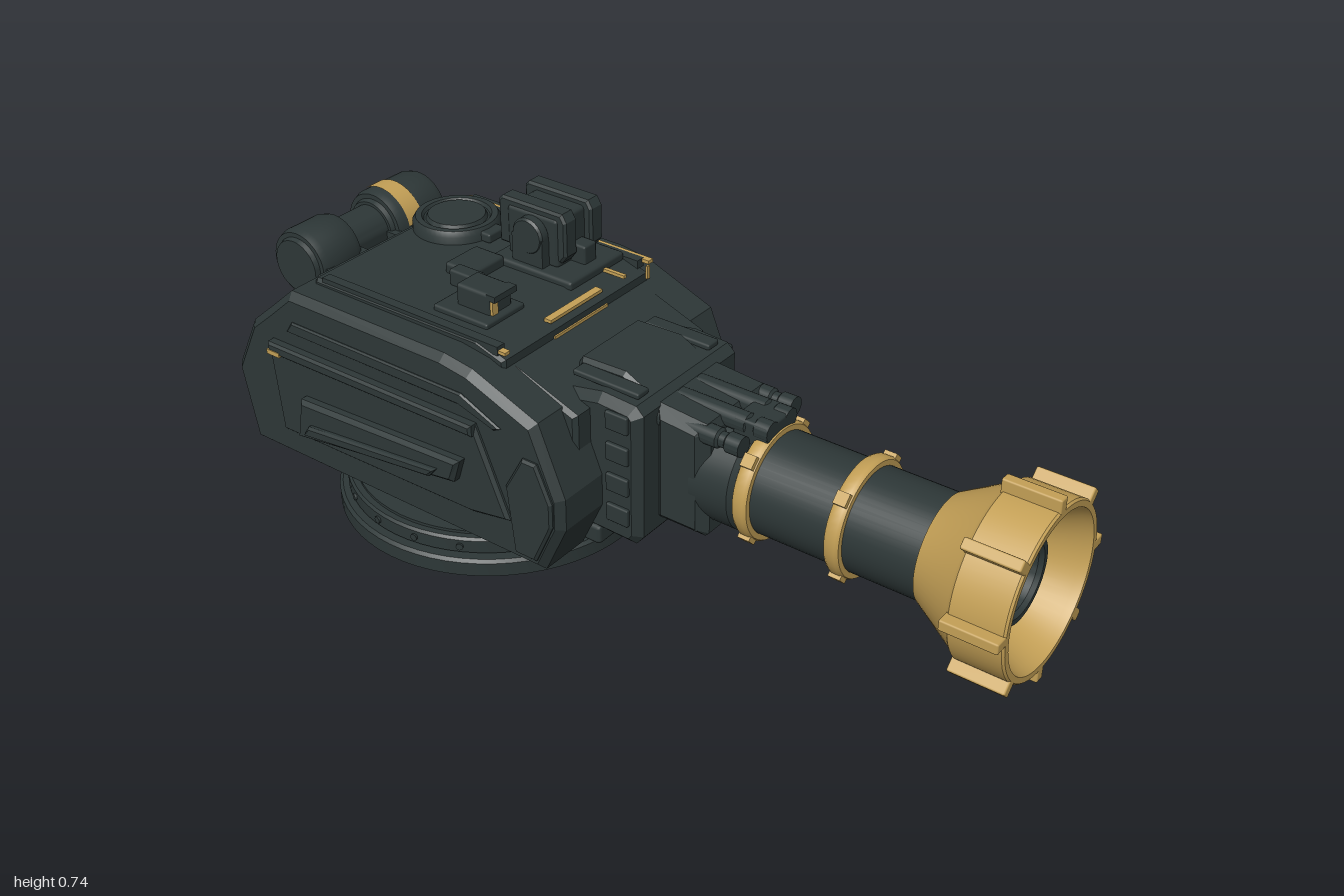
import * as THREE from 'three';
import { toCreasedNormals } from 'three/addons/utils/BufferGeometryUtils.js';
import { RoundedBoxGeometry } from 'three/addons/geometries/RoundedBoxGeometry.js';

const dark = new THREE.MeshStandardMaterial({ color: 0x2d3737 });
dark.name = 'dark armour';
const gold = new THREE.MeshStandardMaterial({ color: 0xc4a056 });
gold.name = 'brass';

const AXIS_Y = 0.335; // height of the gun axis

export function createModel() {
  const root = new THREE.Group();
  root.name = 'gunTurret';

  function add(name, geometry, material = dark, parent = root) {
    const mesh = new THREE.Mesh(geometry, material);
    mesh.name = name;
    parent.add(mesh);
    return mesh;
  }
  // Box given by its limits
  function box(name, x0, x1, y0, y1, z0, z1, material = dark, r = 0) {
    const s = [x1 - x0, y1 - y0, z1 - z0];
    const g = r ? new RoundedBoxGeometry(...s, 1, r) : new THREE.BoxGeometry(...s);
    const m = add(name, g, material);
    m.position.set((x0 + x1) / 2, (y0 + y1) / 2, (z0 + z1) / 2);
    return m;
  }
  // Side profile in x,y pushed from z0 to z1, with chamfered edges
  function slab(name, pts, z0, z1, bevel = 0, material = dark) {
    const shape = new THREE.Shape(pts.map(p => new THREE.Vector2(...p)));
    const g = new THREE.ExtrudeGeometry(shape, {
      depth: z1 - z0 - 2 * bevel, bevelEnabled: bevel > 0, bevelThickness: bevel,
      bevelSize: bevel, bevelOffset: -bevel, bevelSegments: 1,
    });
    g.translate(0, 0, z0 + bevel);
    return add(name, g, material);
  }
  // Turned part; profile points are [radius, position along the axis]
  function turned(name, pts, axis, material = dark, segments = 48) {
    const g = new THREE.LatheGeometry(pts.map(p => new THREE.Vector2(...p)), segments);
    if (axis === 'x') g.rotateZ(-Math.PI / 2);
    if (axis === 'z') g.rotateX(Math.PI / 2);
    return add(name, toCreasedNormals(g, 0.6), material);
  }

  // Turntable
  turned('turntable', [[0, 0], [0.388, 0], [0.388, 0.035], [0.38, 0.042], [0.355, 0.042], [0.355, 0.048],
    [0.366, 0.05], [0.366, 0.082], [0.36, 0.088], [0.345, 0.088], [0.345, 0.095], [0.28, 0.095],
    [0.28, 0.14], [0, 0.14]], 'y', dark, 64).position.x = -0.47;
  for (let i = 0; i < 20; i++) {
    const a = (i + 0.5) / 20 * Math.PI * 2;
    const bolt = add('turntableBolt', new THREE.CylinderGeometry(0.009, 0.009, 0.01, 8));
    bolt.rotation.set(Math.PI / 2, 0, -a, 'YXZ');
    bolt.rotation.set(Math.PI / 2, a, 0, 'YXZ');
    bolt.position.set(-0.47 + Math.sin(a) * 0.366, 0.066, Math.cos(a) * 0.366);
  }

  // Central hull and roof
  slab('hullCore', [[-0.94, 0.12], [-0.975, 0.31], [-0.9, 0.46], [-0.84, 0.52], [-0.79, 0.575], [-0.3, 0.575],
    [-0.17, 0.535], [-0.02, 0.48], [-0.02, 0.3], [-0.07, 0.12]], -0.24, 0.24, 0.01);
  slab('roofPlate', [[-0.8, 0.54], [-0.77, 0.585], [-0.28, 0.59], [-0.2, 0.565], [-0.2, 0.53]], -0.26, 0.26, 0.008);
  for (const s of [1, -1]) {
    const z = (a, b) => s > 0 ? [a, b] : [-b, -a];
    // Armoured side pods
    slab('sidePod', [[-1, 0.31], [-0.96, 0.11], [-0.05, 0.11], [0.01, 0.24], [0.01, 0.32], [-0.06, 0.49],
      [-0.24, 0.56], [-0.32, 0.572], [-0.79, 0.572], [-0.86, 0.51], [-0.93, 0.45]], ...z(0.17, 0.335), 0.018);
    slab('sideArmour', [[-0.84, 0.19], [-0.86, 0.42], [-0.22, 0.435], [-0.18, 0.34], [-0.13, 0.22], [-0.24, 0.2]],
      ...z(0.32, 0.348), 0.008);
    slab('armourTopRail', [[-0.85, 0.405], [-0.85, 0.435], [-0.22, 0.44], [-0.22, 0.412]], ...z(0.33, 0.36), 0.006);
    slab('sideFin', [[-0.765, 0.21], [-0.745, 0.32], [-0.25, 0.342], [-0.27, 0.28]], ...z(0.335, 0.375), 0.01);
    slab('finRidge', [[-0.73, 0.235], [-0.71, 0.265], [-0.31, 0.305], [-0.33, 0.28]], ...z(0.36, 0.388), 0.006);
    // Armour seam strips, front brackets and brass tags
    slab('upperSideStrip', [[-0.8, 0.47], [-0.78, 0.5], [-0.26, 0.5], [-0.15, 0.45], [-0.17, 0.44], [-0.27, 0.47]],
      ...z(0.325, 0.341), 0.004);
    slab('frontCheek', [[-0.12, 0.14], [-0.14, 0.31], [-0.09, 0.4], [-0.05, 0.4], [-0.01, 0.31], [-0.01, 0.25], [-0.06, 0.14]],
      ...z(0.325, 0.345), 0.006);
    box('brassTag', -0.85, -0.81, 0.405, 0.417, ...z(0.34, 0.362), gold);
    box('rearFrame', -0.985, -0.95, 0.24, 0.35, ...z(0.13, 0.18), dark, 0.008);
  }
  slab('rearPanel', [[-0.955, 0.17], [-0.985, 0.3], [-0.95, 0.31], [-0.92, 0.17]], -0.13, 0.13, 0.006);
  box('frontLowerSill', -0.06, 0.0, 0.12, 0.17, -0.19, 0.19, dark, 0.01);

  // Brass roof trim
  box('longRoofTrim', -0.77, -0.2, 0.582, 0.591, -0.277, -0.26, gold);
  box('crossRoofTrim', -0.232, -0.212, 0.575, 0.583, -0.1, 0.085, gold);
  box('frontRoofTrim', -0.203, -0.196, 0.542, 0.55, -0.1, 0.09, gold);
  box('cornerRoofTrim', -0.27, -0.2, 0.575, 0.583, 0.238, 0.255, gold);
  box('trimEnd', -0.2, -0.194, 0.55, 0.583, -0.257, -0.248, gold);
  for (const z of [0.245, -0.255]) box('roofEdge', -0.75, -0.22, 0.57, 0.592, z - 0.012, z + 0.012);

  // Round hatch
  turned('hatch', [[0.108, 0.57], [0.108, 0.605], [0.1, 0.618], [0.085, 0.618], [0.08, 0.61], [0.075, 0.61],
    [0.07, 0.62], [0, 0.622]], 'y').position.set(-0.69, 0, -0.14);
  box('hatchHinge', -0.6, -0.56, 0.585, 0.61, -0.17, -0.11, dark, 0.006);

  // Rear drums across the back deck
  const drum = (len, r) => [[0, 0], [r * 0.75, 0], [r * 0.8, 0.012], [r * 0.93, 0.012], [r, 0.03],
    [r, len - 0.03], [r * 0.93, len - 0.012], [r * 0.8, len - 0.012], [r * 0.75, len], [0, len]];
  turned('largeDrum', drum(0.19, 0.09), 'z').position.set(-0.9, 0.55, -0.245);
  turned('smallDrum', drum(0.15, 0.087), 'z').position.set(-0.9, 0.55, 0.05);
  turned('drumAxle', [[0.06, -0.07], [0.06, 0.06]], 'z').position.set(-0.9, 0.55, 0);
  const band = add('drumBrassBand', new THREE.CylinderGeometry(0.093, 0.093, 0.05, 24, 1, true, Math.PI * 0.6, Math.PI * 0.9), gold);
  band.geometry.rotateX(Math.PI / 2);
  band.geometry.rotateZ(-Math.PI * 0.05);
  // Turn the arc so that it covers the upper side
  const mid = new THREE.Vector3();
  const bp = band.geometry.attributes.position;
  for (let i = 0; i < bp.count; i++) mid.add(new THREE.Vector3().fromBufferAttribute(bp, i));
  band.geometry.rotateZ(Math.PI / 2 - Math.atan2(mid.y, mid.x));
  band.position.set(-0.9, 0.55, -0.12);
  for (const z of [-0.2, -0.06, 0.06, 0.17]) box('drumCradle', -0.9, -0.78, 0.48, 0.56, z - 0.012, z + 0.012);

  // Sight head: paired plates on a pedestal
  box('sightBase', -0.5, -0.26, 0.58, 0.605, -0.245, -0.045, dark, 0.008);
  box('sightCore', -0.48, -0.33, 0.6, 0.725, -0.235, -0.085, dark, 0.01);
  const plate = (y, w) => [[-0.41 - w, 0.62], [-0.41 - w, y - 0.012], [-0.398 - w, y], [-0.422 + w, y],
    [-0.41 + w, y - 0.02], [-0.41 + w, 0.635], [-0.425 + w, 0.615]];
  for (const z of [-0.135, -0.23]) slab('sightPlate', plate(0.74, 0.1), z, z + 0.045, 0.006);
  for (const z of [-0.09, -0.262]) {
    const cap = turned('sightPivot', [[0, 0], [0.04, 0], [0.045, 0.006], [0.045, 0.026], [0.04, 0.032], [0, 0.032]], 'z', dark, 24);
    cap.position.set(-0.4, 0.675, z);
    box('sightArm', -0.445, -0.355, 0.6, 0.675, z, z + 0.03);
  }
  box('sightNose', -0.34, -0.29, 0.59, 0.65, -0.18, -0.135, dark, 0.006);
  box('sightTrim', -0.4, -0.2, 0.584, 0.592, -0.175, -0.165, gold);

  // Periscope box with a brass window
  box('periscope', -0.41, -0.31, 0.58, 0.653, 0.1, 0.175, dark, 0.008);
  box('periscopeHood', -0.32, -0.295, 0.638, 0.653, 0.1, 0.175);
  box('periscopeWindow', -0.312, -0.305, 0.592, 0.64, 0.153, 0.172, gold);
  box('periscopeFoot', -0.45, -0.29, 0.58, 0.602, 0.08, 0.21, dark, 0.006);
  box('roofBox', -0.5, -0.42, 0.585, 0.628, 0.062, 0.1, dark, 0.006);
  box('roofBulge', -0.55, -0.46, 0.58, 0.613, -0.05, 0.06, dark, 0.008);

  // Mantlet
  slab('mantlet', [[-0.1, 0.16], [-0.1, 0.5], [0.0, 0.52], [0.09, 0.515], [0.11, 0.495], [0.11, 0.18], [0.09, 0.155]],
    -0.19, 0.19, 0.02);
  slab('mantletHump', [[-0.13, 0.5], [-0.11, 0.536], [0.01, 0.54], [0.07, 0.51], [0.07, 0.48]], -0.11, 0.11, 0.01);
  for (const s of [1, -1]) {
    for (let i = 0; i < 4; i++) {
      const y = 0.21 + i * 0.08;
      box('mantletStud', 0.025, 0.085, y, y + 0.045, s * 0.191 - 0.008, s * 0.191 + 0.008, dark, 0.004);
    }
    box('mantletRib', -0.1, 0.08, 0.515, 0.53, s * 0.13 - 0.02, s * 0.13 + 0.02, dark, 0.005);
  }
  slab('gunCradle', [[0.1, 0.2], [0.1, 0.5], [0.23, 0.49], [0.24, 0.47], [0.24, 0.21], [0.23, 0.2]], -0.13, 0.13, 0.025);

  // Recoil tubes over the barrel
  for (const z of [-0.1, -0.035, 0.035, 0.1]) {
    const long = Math.abs(z) < 0.05 ? 0.24 : 0.21;
    turned('recoilTube', [[0, 0], [0.024, 0], [0.024, long - 0.06], [0.018, long - 0.055], [0.018, long - 0.04],
      [0.024, long - 0.035], [0.024, long], [0, long]], 'x', dark, 16).position.set(0.11, Math.abs(z) < 0.05 ? 0.48 : 0.465, z);
  }
  box('recoilBracket', 0.26, 0.35, 0.44, 0.498, -0.055, 0.055, dark, 0.006);

  // Barrel, brass rings and flared muzzle
  const gun = new THREE.Group();
  gun.name = 'gun';
  gun.position.y = AXIS_Y;
  root.add(gun);
  gun.add(turned('barrel', [[0.132, 0.2], [0.132, 0.3], [0.121, 0.31], [0.121, 0.8]], 'x'));
  gun.add(turned('innerMuzzle', [[0.108, 0.78], [0.108, 0.925], [0.098, 0.94], [0.085, 0.94], [0.078, 0.93],
    [0.078, 0.86], [0.055, 0.85], [0.052, 0.8], [0, 0.8]], 'x'));
  for (const x of [0.335, 0.565]) {
    gun.add(turned('barrelRing', [[0.118, x - 0.018], [0.134, x - 0.018], [0.139, x - 0.01], [0.139, x + 0.01],
      [0.134, x + 0.018], [0.118, x + 0.018]], 'x', gold));
    for (let i = 0; i < 4; i++) {
      const a = Math.PI / 4 + i * Math.PI / 2;
      const lug = add('ringLug', new THREE.BoxGeometry(0.03, 0.02, 0.03), gold, gun);
      lug.position.set(x, Math.cos(a) * 0.137, Math.sin(a) * 0.137);
      lug.rotation.x = a;
    }
  }
  gun.add(turned('muzzleFlare', [[0.119, 0.755], [0.126, 0.755], [0.19, 0.865], [0.2, 0.875], [0.2, 0.995],
    [0.196, 1], [0.182, 1], [0.176, 0.98], [0.108, 0.83]], 'x', gold, 64));
  for (let i = 0; i < 8; i++) {
    const a = i * Math.PI / 4;
    const rib = add('muzzleRib', new RoundedBoxGeometry(0.132, 0.04, 0.026, 1, 0.004), gold, gun);
    rib.position.set(0.934, Math.cos(a) * 0.208, Math.sin(a) * 0.208);
    rib.rotation.x = a;
  }
  return root;
}
